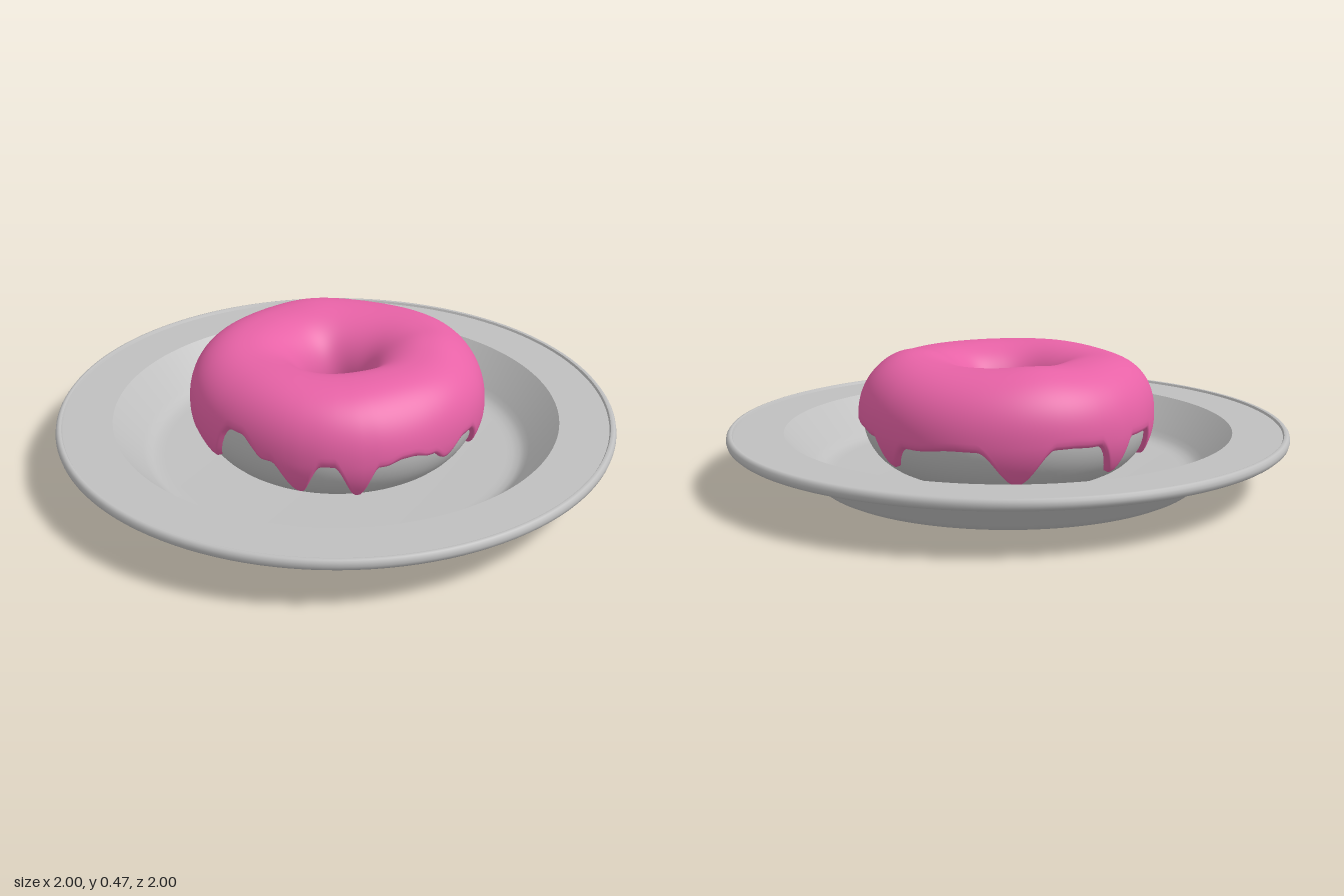
import * as THREE from 'three';
import { toCreasedNormals } from 'three/addons/utils/BufferGeometryUtils.js';

const { clamp, smoothstep, radToDeg } = THREE.MathUtils;
const RING = 0.32, CY = 0.24, A = 0.19, B = 0.195, POWER = 2.25;
const spow = (v, p) => Math.sign(v) * Math.abs(v) ** p;

// Icing hem as [degrees round from the front, height]: low values are drips.
const HEM = [
  [-38, 0.14], [-23, 0.285], [-9, 0.22], [4, 0.11], [15, 0.225], [27, 0.1], [36, 0.215],
  [46, 0.23], [56, 0.215], [64, 0.18], [77, 0.225], [93, 0.12], [102, 0.2], [127, 0.22],
  [139, 0.21], [149, 0.12], [162, 0.2], [185, 0.215], [204, 0.1], [222, 0.22], [234, 0.215],
  [246, 0.11], [256, 0.22], [266, 0.22], [276, 0.12], [290, 0.25], [305, 0.17], [322, 0.14],
];

function hemHeight(theta) {
  let deg = radToDeg(theta);
  if (deg >= 322) deg -= 360;
  const k = Math.max(1, HEM.findIndex((h) => h[0] >= deg));
  const [d0, y0] = HEM[k - 1], [d1, y1] = HEM[k];
  const t = (deg - d0) / (d1 - d0);
  const fromDrip = y0 < y1 ? t : 1 - t;
  return Math.min(y0, y1) + Math.abs(y1 - y0) * smoothstep(fromDrip, 0.03, 0.8);
}

// Squarer above the middle, round below.
const power = (s) => (s > 0 ? POWER : 2);

// Point on the rounded ring, swollen outwards by t; the outside sits a little to the back.
function ringPoint(theta, phi, t) {
  const c = Math.cos(phi), s = Math.sin(phi);
  const r = RING + (A + t) * spow(c, 2 / power(s));
  const y = CY + (B + t) * spow(s, 2 / power(s));
  return [r * Math.sin(theta), y, r * Math.cos(theta) - 0.01 * (1 + c)];
}

// Sweeps rows of points round the ring, closed in theta.
function sweep(around, rows, point) {
  const pos = [], idx = [];
  for (let i = 0; i < around; i++) {
    for (let j = 0; j <= rows; j++) pos.push(...point((i / around) * Math.PI * 2, j / rows));
  }
  for (let i = 0; i < around; i++) {
    for (let j = 0; j < rows; j++) {
      const a = i * (rows + 1) + j, b = ((i + 1) % around) * (rows + 1) + j;
      idx.push(a, b, a + 1, b, b + 1, a + 1);
    }
  }
  const geo = new THREE.BufferGeometry();
  geo.setAttribute('position', new THREE.Float32BufferAttribute(pos, 3));
  geo.setIndex(idx);
  geo.computeVertexNormals();
  return geo;
}

// Soft swellings and dents as [theta, phi, theta width, phi width, height].
const LUMPS = [
  [1.87, 1.5, 0.3, 0.5, 0.015], [3.78, 1.5, 0.35, 0.5, 0.011],
  [0.85, 0.8, 0.35, 0.6, -0.01], [5.5, 0.3, 0.4, 0.6, 0.006],
];

// Icing shell: rounded lips at both hems, gentle lumps in between.
function icingPoint(theta, v) {
  const phiAt = (y) => Math.asin(spow((y - CY) / B, power(y - CY) / 2));
  const start = phiAt(hemHeight(theta));
  const end = Math.PI - phiAt(0.17 + 0.03 * Math.sin(5 * theta + 1));
  const phi = start + (end - start) * v;
  const d = clamp(Math.min(phi - start, end - phi) / 0.14, 0, 1);
  const lip = -0.004 + 0.022 * Math.sqrt(1 - (1 - d) ** 2);
  let lump = 0.002 * Math.sin(3 * theta + 0.6) + 0.002 * Math.sin(5 * theta + 2 * phi);
  for (const [t0, p0, tw, pw, h] of LUMPS) {
    lump += h * Math.exp(-(((theta - t0) / tw) ** 2) - ((phi - p0) / pw) ** 2);
  }
  return ringPoint(theta, phi, lip + d * lump);
}

export function createModel() {
  const grey = new THREE.MeshStandardMaterial({ name: 'pale grey', color: 0xbfbfbf });
  const pink = new THREE.MeshStandardMaterial({ name: 'pink icing', color: 0xe762a6 });
  const model = new THREE.Group();
  const add = (name, geo, mat) => {
    const mesh = new THREE.Mesh(geo, mat);
    mesh.name = name;
    model.add(mesh);
  };

  // Deep plate with a flat rim and a small rounded lip
  const profile = [
    [0, 0], [0.645, 0], [0.665, 0.003], [0.682, 0.011], [0.697, 0.026], [0.8, 0.157],
    [0.975, 0.157], [0.988, 0.16], [0.997, 0.168], [1, 0.179], [0.998, 0.19],
    [0.992, 0.198], [0.985, 0.2], [0.979, 0.198], [0.975, 0.19], [0.8, 0.19],
    [0.7, 0.078], [0.685, 0.062], [0.668, 0.051], [0.645, 0.045], [0.62, 0.043], [0, 0.043],
  ].map(([x, y]) => new THREE.Vector2(x, y));
  add('plate', toCreasedNormals(new THREE.LatheGeometry(profile, 128), 0.65), grey);

  // Ring of dough
  add('dough', sweep(96, 48, (theta, v) => ringPoint(theta, (v * 2 - 0.5) * Math.PI, 0)), grey);

  // Dripping icing
  add('icing', sweep(360, 72, icingPoint), pink);
  return model;
}
